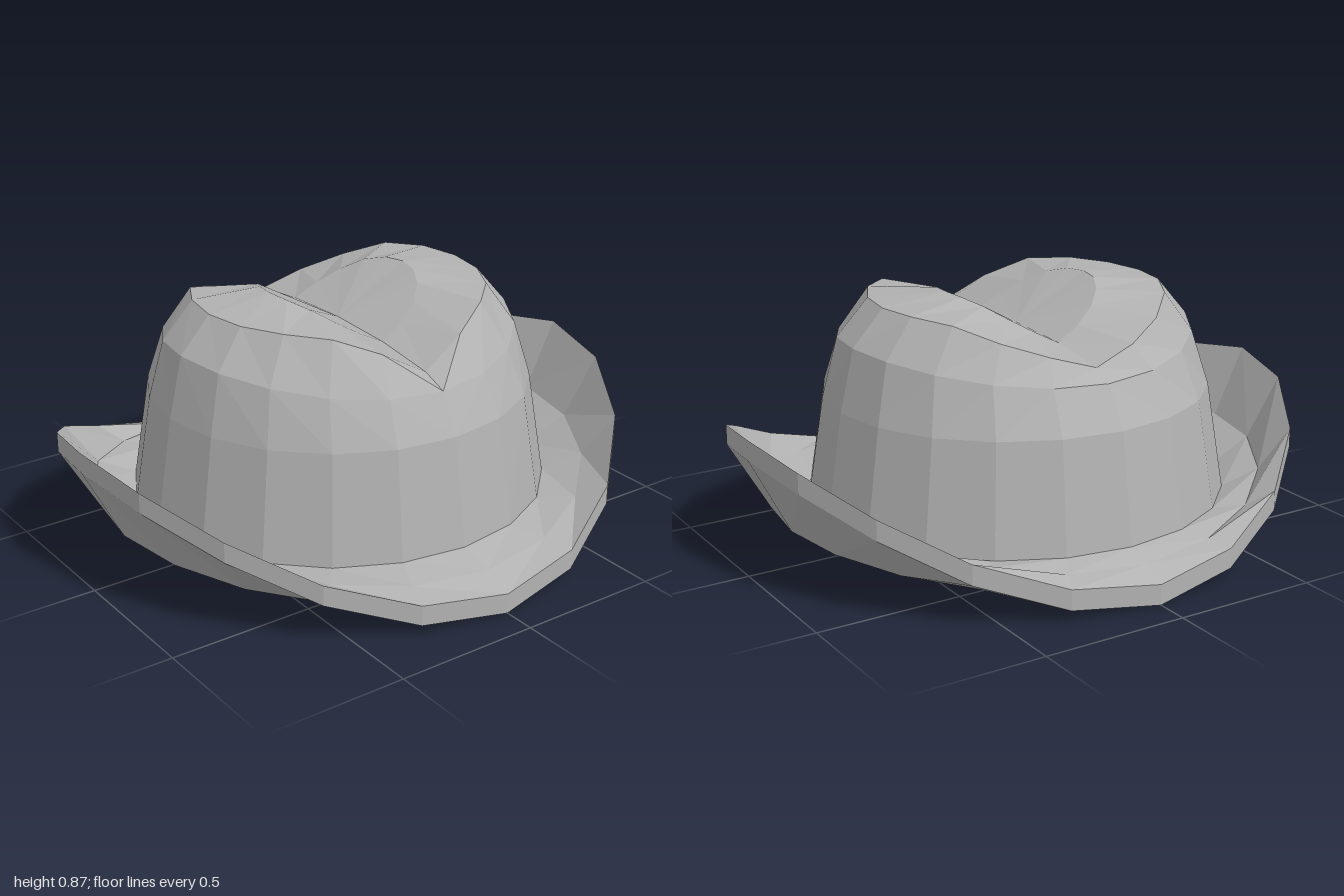
import * as THREE from 'three';

const SIDES = 20;
const CENTRE_Z = -0.04;

// One cross-section: half-width, depth to the front and back, height by angle
function ring(rx, front, back, height) {
  const points = [];
  for (let i = 0; i < SIDES; i++) {
    const a = (i / SIDES) * Math.PI * 2;
    const s = Math.sin(a), c = Math.cos(a);
    points.push(new THREE.Vector3(rx * s, height(s * s, c, i), CENTRE_Z + (c > 0 ? front : back) * c));
  }
  return points;
}

// Rings are listed from the underside outwards and up; caps close the ends
function loft(rings, startCap, endCap) {
  const pos = [];
  const tri = (...pts) => pts.forEach((p) => pos.push(p.x, p.y, p.z));
  for (let r = 0; r + 1 < rings.length; r++) {
    for (let i = 0; i < SIDES; i++) {
      const j = (i + 1) % SIDES;
      const [a, b, c, d] = [rings[r][i], rings[r][j], rings[r + 1][j], rings[r + 1][i]];
      // Mirror the diagonals from left to right
      if (i < SIDES / 2) tri(a, b, c, a, c, d);
      else tri(a, b, d, b, c, d);
    }
  }
  const last = rings[rings.length - 1];
  for (let i = 0; i < SIDES; i++) {
    const j = (i + 1) % SIDES;
    if (startCap) tri(startCap, rings[0][j], rings[0][i]);
    if (endCap) tri(last[i], last[j], endCap);
  }
  const geometry = new THREE.BufferGeometry();
  geometry.setAttribute('position', new THREE.Float32BufferAttribute(pos, 3));
  geometry.computeVertexNormals();
  return geometry;
}

// Heights listed from front to back, shared by the left and right halves
const profile = (list) => (s2, c, i) => list[Math.min(i, SIDES - i)];

export function createModel() {
  const hat = new THREE.Group();
  hat.name = 'hat';
  const felt = new THREE.MeshStandardMaterial({ color: 0xb2b2b2, flatShading: true });
  felt.name = 'grey felt';

  const add = (name, geometry) => {
    const mesh = new THREE.Mesh(geometry, felt);
    mesh.name = name;
    hat.add(mesh);
  };

  // Brim: flat underside, rolled-up sides, thick rim and dished upper face
  add('brim', loft([
    ring(0.69, 0.68, 0.62, () => 0.06),
    ring(0.86, 0.81, 0.74, (s2) => 0.045 + 0.095 * s2),
    ring(1, 0.93, 0.85, (s2) => 0.41 * s2),
    ring(1, 0.93, 0.85, (s2) => 0.07 + 0.41 * s2),
    ring(0.88, 0.83, 0.77, (s2) => 0.11 + 0.13 * s2),
    ring(0.73, 0.71, 0.69, () => 0.14),
  ], new THREE.Vector3(0, 0.03, CENTRE_Z)));

  // Crown: tapering wall, rounded shoulder and a crease from front to back
  add('crown', loft([
    ring(0.73, 0.71, 0.69, () => 0.14),
    ring(0.67, 0.65, 0.63, () => 0.51),
    ring(0.62, 0.58, 0.55, (s2) => 0.645 + 0.075 * s2),
    ring(0.51, 0.49, 0.48,
      profile([0.68, 0.77, 0.83, 0.84, 0.84, 0.84, 0.84, 0.83, 0.78, 0.73, 0.68])),
    ring(0.275, 0.26, 0.26,
      profile([0.71, 0.755, 0.80, 0.84, 0.86, 0.865, 0.86, 0.84, 0.80, 0.755, 0.71])),
  ], null, new THREE.Vector3(0, 0.72, CENTRE_Z)));

  return hat;
}
